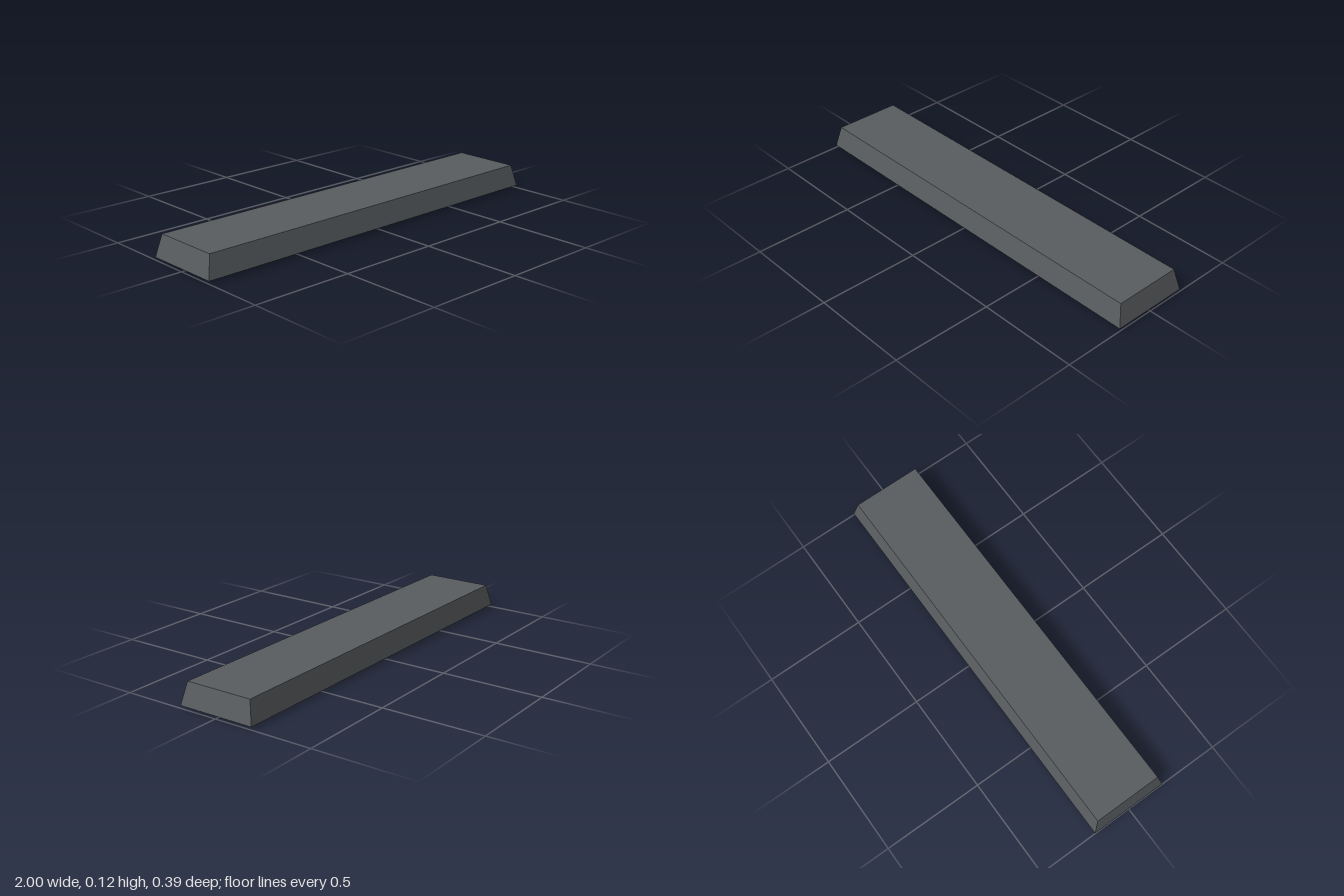
import * as THREE from 'three';

const housingMat = new THREE.MeshStandardMaterial({ color: 0x595d60 });
housingMat.name = 'dark grey metal';
const tubeMat = new THREE.MeshStandardMaterial({ color: 0xe8e8e8 });
tubeMat.name = 'white glass';

// Four corners of a horizontal rectangle, counter-clockwise from above
const rect = (hx, y, hz) => [[-hx, y, hz], [hx, y, hz], [hx, y, -hz], [-hx, y, -hz]];

// Tapered tray, open below: outer walls, rim, inner walls and ceiling
function housingGeometry() {
  const loops = [
    rect(0.975, 0.122, 0.172),
    rect(1, 0.013, 0.196),
    rect(0.98, 0.013, 0.176),
    rect(0.96, 0.108, 0.156),
  ];
  const positions = [];
  const quad = (a, b, c, d) => positions.push(...a, ...b, ...c, ...a, ...c, ...d);
  quad(...loops[0]);
  for (let k = 0; k < loops.length - 1; k++) {
    for (let i = 0; i < 4; i++) {
      const j = (i + 1) % 4;
      quad(loops[k + 1][i], loops[k + 1][j], loops[k][j], loops[k][i]);
    }
  }
  quad(...loops[3].slice().reverse());
  const geometry = new THREE.BufferGeometry();
  geometry.setAttribute('position', new THREE.Float32BufferAttribute(positions, 3));
  geometry.computeVertexNormals();
  return geometry;
}

export function createModel() {
  const group = new THREE.Group();
  group.name = 'stripLight';

  const housing = new THREE.Mesh(housingGeometry(), housingMat);
  housing.name = 'housing';
  group.add(housing);

  // Five-sided bars lying along x, with their lowest edge on the ground
  const radius = 0.037;
  const height = radius * Math.sin(Math.PI * 0.4);
  const bar = (name, length, x, z, material, open) => {
    const geometry = new THREE.CylinderGeometry(radius, radius, length, 5, 1, open);
    geometry.rotateZ(Math.PI / 2);
    const mesh = new THREE.Mesh(geometry, material);
    mesh.name = name;
    mesh.position.set(x, height, z);
    group.add(mesh);
  };

  // Two lamps, each with a socket at both ends
  for (const z of [-0.067, 0.067]) {
    bar('lampTube', 1.62, 0, z, tubeMat, true);
    for (const side of [-1, 1]) bar('lampSocket', 0.143, side * 0.8815, z, housingMat, false);
  }
  return group;
}
